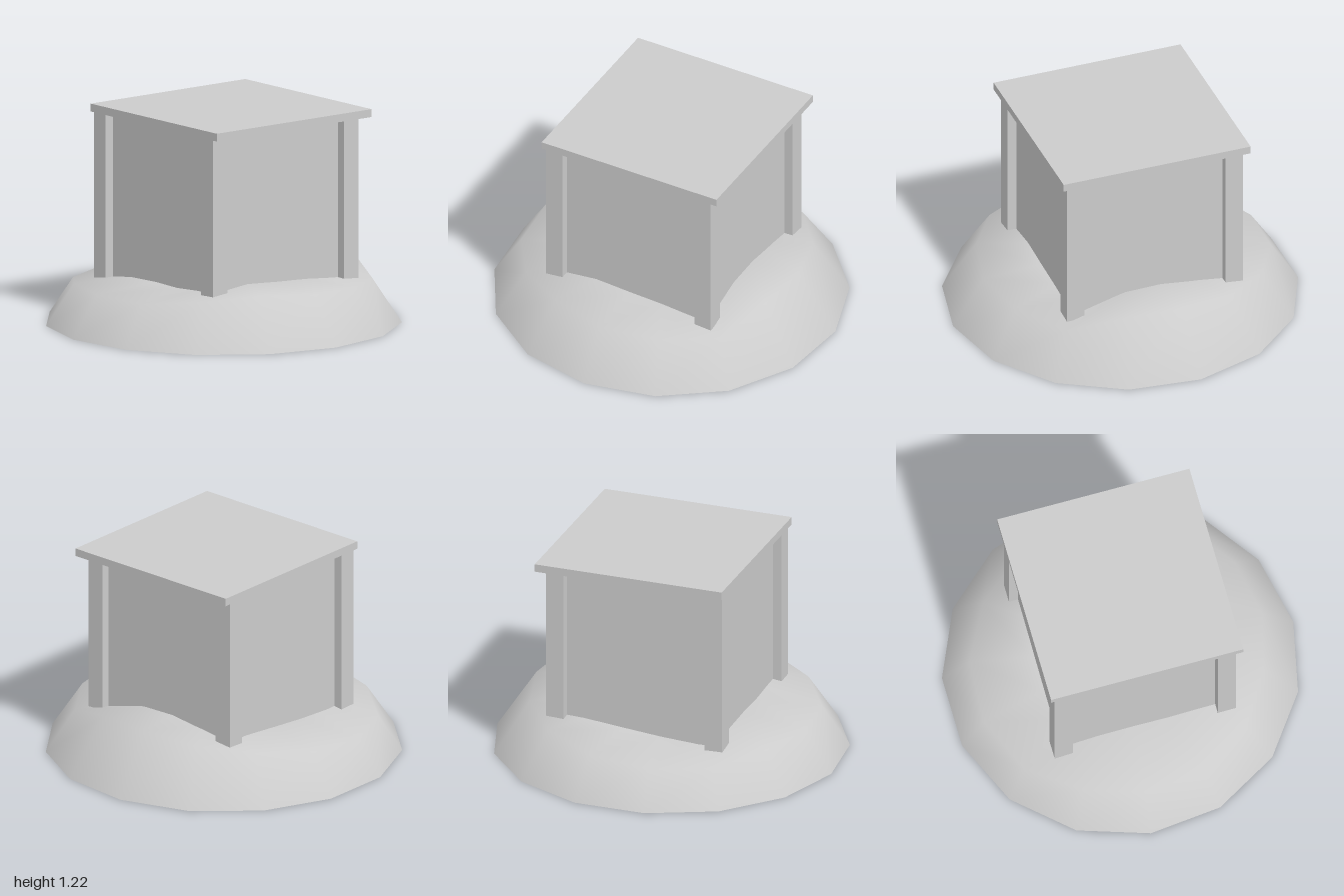
import * as THREE from 'three';

const grey = new THREE.MeshStandardMaterial({ color: 0xcccccc, side: THREE.DoubleSide });

const POST = 0.105;      // post thickness
const BOTTOM = 0.16;     // posts and walls sink into the mound
const TOP = 1.18;        // underside of the roof
const CX = -0.01, CZ = -0.0225;   // centre of the cabin
const HALF = 0.475;      // centre of the cabin to the post axes

function addMesh(parent, name, geometry, x, y, z) {
  const mesh = new THREE.Mesh(geometry, grey);
  mesh.name = name;
  mesh.position.set(x, y, z);
  parent.add(mesh);
  return mesh;
}

// Uneven 15-sided mound, hollow underneath, with a smooth-shaded rim
function moundGeometry() {
  const rim = [0.275, 0.295, 0.265, 0.235, 0.24, 0.24, 0.205, 0.21,
    0.235, 0.275, 0.31, 0.342, 0.335, 0.25, 0.265];
  const n = rim.length;
  const rings = [
    () => [1.005, 0],                            // foot
    (h) => [1.005 - 0.66 * h, h],                // rim
    (h) => [0.5, 0.75 * h + 0.25 * 0.31 + 0.01], // gently domed top
  ];
  const positions = [], index = [];
  for (const ring of rings) {
    rim.forEach((h, k) => {
      const [r, y] = ring(h);
      const a = (k / n) * Math.PI * 2;
      positions.push(r * Math.cos(a) - 0.011, y, r * Math.sin(a));
    });
  }
  positions.push(-0.011, 0.31, 0);
  const centre = rings.length * n;
  for (let k = 0; k < n; k++) {
    const next = (k + 1) % n;
    for (let j = 0; j < rings.length - 1; j++) {
      const a = j * n + k, b = j * n + next;
      index.push(a, a + n, b, b, a + n, b + n);
    }
    index.push(centre - n + k, centre, centre - n + next);
  }
  const g = new THREE.BufferGeometry();
  g.setAttribute('position', new THREE.Float32BufferAttribute(positions, 3));
  g.setIndex(index);
  g.computeVertexNormals();
  return g;
}

// Square tube without end caps
function postGeometry(height) {
  const g = new THREE.CylinderGeometry(POST / Math.SQRT2, POST / Math.SQRT2, height, 4, 1, true, Math.PI / 4);
  const flat = g.toNonIndexed();
  flat.computeVertexNormals();
  return flat;
}

export function createModel() {
  const model = new THREE.Group();
  model.name = 'hutOnMound';
  addMesh(model, 'mound', moundGeometry(), 0, 0, 0);

  const height = TOP - BOTTOM;
  const midY = (TOP + BOTTOM) / 2;

  // Corner posts
  const post = postGeometry(height);
  for (const sx of [-1, 1]) {
    for (const sz of [-1, 1]) {
      const name = (sz > 0 ? 'front' : 'back') + (sx > 0 ? 'Left' : 'Right') + 'Post';
      addMesh(model, name, post, CX + sx * HALF, midY, CZ + sz * HALF);
    }
  }

  // Thin walls set back to the middle of the posts
  const wall = new THREE.PlaneGeometry(2 * HALF, height);
  ['frontWall', 'leftWall', 'backWall', 'rightWall'].forEach((name, i) => {
    const a = (i * Math.PI) / 2;
    const mesh = addMesh(model, name, wall, CX + HALF * Math.sin(a), midY, CZ + HALF * Math.cos(a));
    mesh.rotation.y = a;
  });

  // Flat roof slab, overhanging towards the back
  addMesh(model, 'roof', new THREE.BoxGeometry(1.12, 0.045, 1.12), 0, 1.1975, -0.05);
  return model;
}
